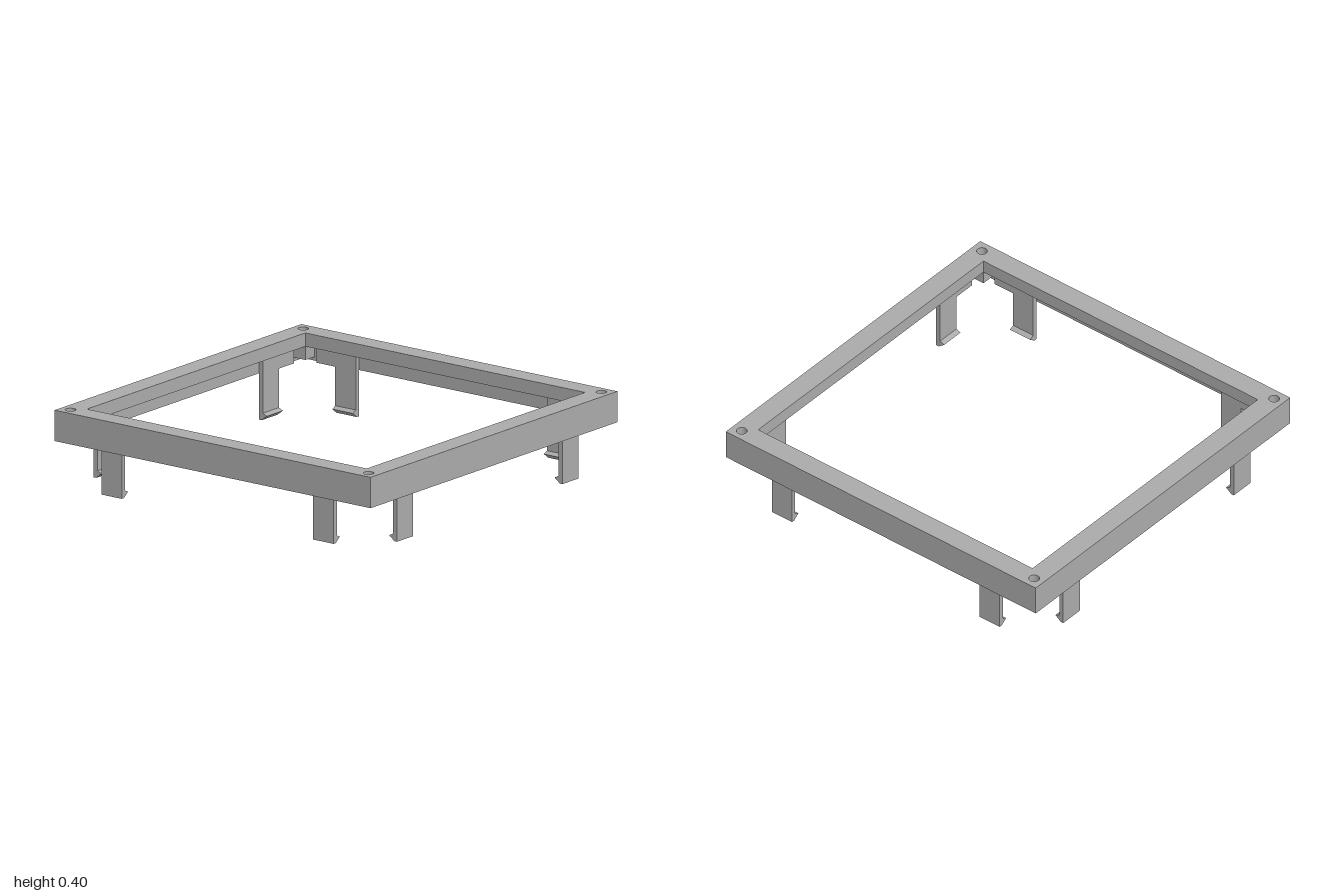
import * as THREE from 'three';

// Closed square outline with the given half-width
function square(Type, h) {
  const s = new Type();
  s.moveTo(-h, -h);
  s.lineTo(h, -h);
  s.lineTo(h, h);
  s.lineTo(-h, h);
  s.closePath();
  return s;
}

// Horizontal square ring between two heights, with optional corner holes
function ring(outer, inner, y0, y1, holeAt = 0, holeR = 0) {
  const shape = square(THREE.Shape, outer);
  shape.holes.push(square(THREE.Path, inner));
  if (holeR) {
    for (const sx of [-1, 1]) for (const sz of [-1, 1]) {
      const hole = new THREE.Path();
      hole.absarc(sx * holeAt, sz * holeAt, holeR, 0, Math.PI * 2, true);
      shape.holes.push(hole);
    }
  }
  const g = new THREE.ExtrudeGeometry(shape, { depth: y1 - y0, bevelEnabled: false, curveSegments: 24 });
  g.rotateX(-Math.PI / 2);
  g.translate(0, y0, 0);
  return g;
}

export function createModel() {
  const model = new THREE.Group();
  model.name = 'clipFrame';
  const grey = new THREE.MeshStandardMaterial({ color: 0xaaaaaa });
  grey.name = 'grey plastic';

  const add = (parent, name, geometry) => {
    const mesh = new THREE.Mesh(geometry, grey);
    mesh.name = name;
    parent.add(mesh);
    return mesh;
  };
  const box = (x0, x1, y0, y1, z0, z1) =>
    new THREE.BoxGeometry(x1 - x0, y1 - y0, z1 - z0)
      .translate((x0 + x1) / 2, (y0 + y1) / 2, (z0 + z1) / 2);

  const bottom = 0.24, ledge = 0.33, top = 0.4;

  // Wide top rim with blind corner holes, over a thinner skirt wall
  add(model, 'topRim', ring(1, 0.885, ledge, top, 0.943, 0.027));
  add(model, 'skirtWall', ring(1, 0.96, bottom, ledge));

  // Snap clip: thin strip with a hooked foot pointing inwards
  const clip = new THREE.Shape([
    [0.96, bottom], [0.935, bottom], [0.935, 0.038], [0.91, 0.026], [0.94, 0.003], [0.943, 0], [0.96, 0],
  ].map(([x, y]) => new THREE.Vector2(x, y)));
  const clipGeometry = new THREE.ExtrudeGeometry(clip, { depth: 0.13, bevelEnabled: false });
  clipGeometry.translate(0, 0, -0.065);

  // Each side carries two clips, their mounting pads and one corner post
  for (let i = 0; i < 4; i++) {
    const side = new THREE.Group();
    side.name = 'side' + (i + 1);
    side.rotation.y = i * Math.PI / 2;
    for (const s of [-1, 1]) {
      add(side, 'snapClip', clipGeometry).position.z = s * 0.67;
      add(side, 'clipPad', box(0.935, 0.96, bottom, ledge, s > 0 ? 0.605 : -0.855, s > 0 ? 0.855 : -0.605));
    }
    add(side, 'cornerPost', box(0.885, 0.96, 0.26, ledge, 0.885, 0.96));
    model.add(side);
  }
  return model;
}
